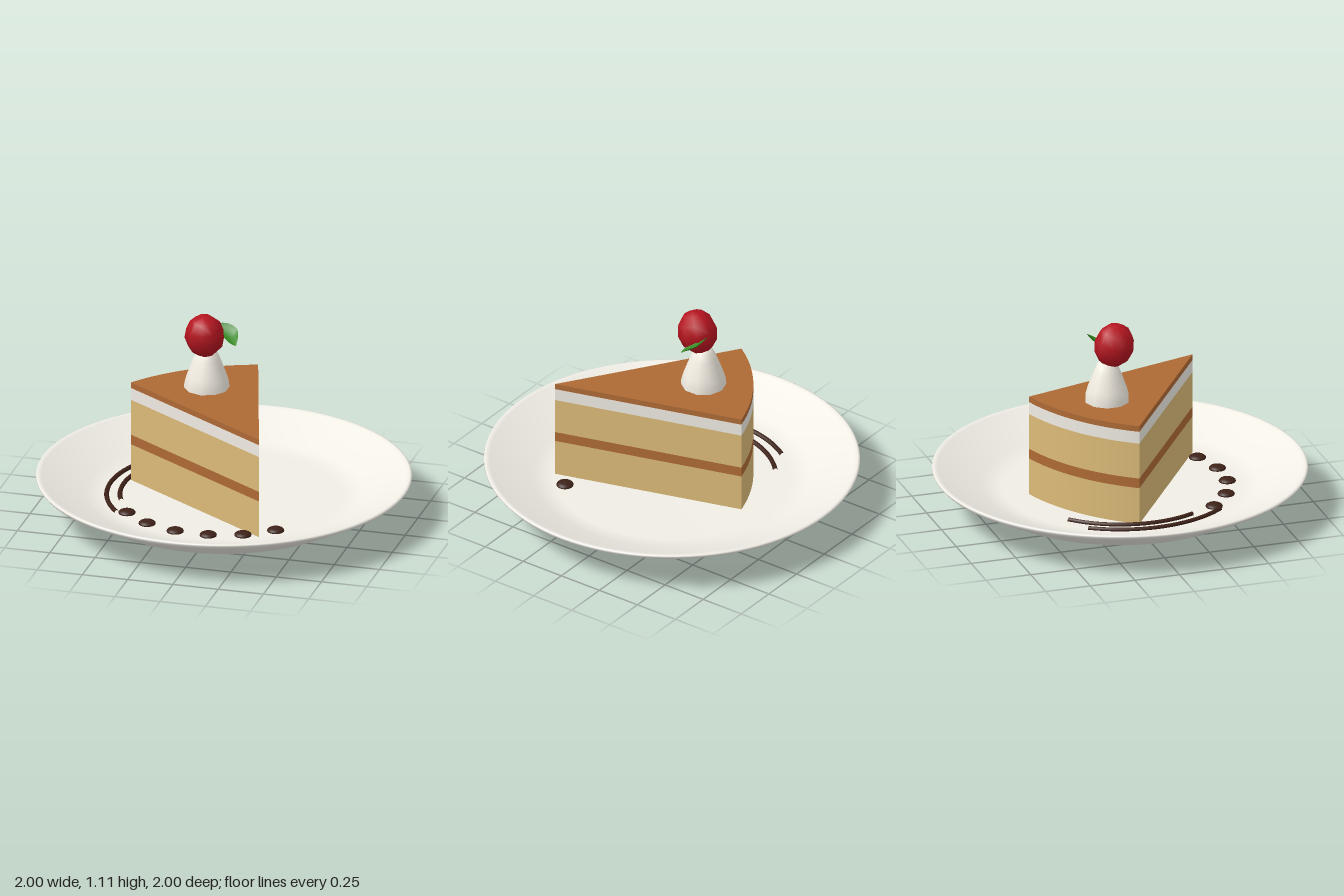
import * as THREE from 'three';
import { toCreasedNormals } from 'three/addons/utils/BufferGeometryUtils.js';

const FLOOR = 0.12; // height of the plate's well
const rad = THREE.MathUtils.degToRad;

function part(name, geometry, color, parent) {
  const mesh = new THREE.Mesh(geometry, new THREE.MeshStandardMaterial({ color }));
  mesh.name = name;
  parent.add(mesh);
  return mesh;
}

const lathe = (points, segments) =>
  new THREE.LatheGeometry(points.map(([r, y]) => new THREE.Vector2(r, y)), segments);

// Wedge-shaped slab, tip towards the front, rounded crust at the back
function wedge(y0, y1) {
  const s = new THREE.Shape();
  s.moveTo(0.34, -0.52);
  s.lineTo(0.34 + 1.053 * Math.cos(rad(106)), -0.52 + 1.053 * Math.sin(rad(106)));
  s.absarc(0.34, -0.52, 1.053, rad(106), rad(146), false);
  s.closePath();
  const g = new THREE.ExtrudeGeometry(s, { depth: y1 - y0, bevelEnabled: false, curveSegments: 20 });
  g.rotateX(-Math.PI / 2).translate(0, y0, 0);
  return toCreasedNormals(g, 0.5);
}

// Curled leaf: a ribbon lofted between its outer and inner edge
function leafGeometry() {
  const curve = (pts) => new THREE.CatmullRomCurve3(pts.map((p) => new THREE.Vector3(...p)));
  const outer = curve([[-0.11, 1.01, -0.165], [-0.05, 1.03, -0.19], [0.02, 1.01, -0.178], [0.04, 0.98, -0.13], [0.042, 0.945, -0.085]]);
  const inner = curve([[-0.11, 1.01, -0.165], [-0.07, 0.995, -0.145], [-0.025, 0.97, -0.11], [0.005, 0.958, -0.088], [0.042, 0.945, -0.085]]);
  const g = new THREE.PlaneGeometry(1, 1, 10, 4);
  const pos = g.attributes.position;
  for (let i = 0; i < pos.count; i++) {
    const u = pos.getX(i) + 0.5, v = pos.getY(i) + 0.5;
    const p = inner.getPoint(u).lerp(outer.getPoint(u), v);
    p.y -= 0.018 * Math.sin(Math.PI * v) * Math.sin(Math.PI * u); // fold along the midrib
    pos.setXYZ(i, p.x, p.y, p.z);
  }
  g.computeVertexNormals();
  return g;
}

export function createModel() {
  const model = new THREE.Group();
  model.name = 'cakeOnPlate';

  // Plate with a recessed foot ring, flared wall and rounded lip
  part('plate', lathe([
    [0, 0.022], [0.37, 0.022], [0.38, 0.018], [0.387, 0.001], [0.392, 0],
    [0.447, 0], [0.452, 0.003], [0.492, 0.06], [0.55, 0.066],
    [0.73, 0.08], [0.975, 0.208], [0.99, 0.218], [1, 0.23],
    [0.998, 0.238], [0.988, 0.241], [0.97, 0.236],
    [0.74, 0.136], [0.63, FLOOR], [0, FLOOR],
  ], 96), 0xf0ede5, model);

  // Cake slice, from bottom layer to top glaze
  const slice = new THREE.Group();
  slice.name = 'cakeSlice';
  model.add(slice);
  for (const [name, y0, y1, color] of [
    ['lowerSponge', FLOOR, 0.325, 0xdcbb78],
    ['filling', 0.325, 0.38, 0xae6a35],
    ['upperSponge', 0.38, 0.58, 0xdcbb78],
    ['creamLayer', 0.58, 0.648, 0xf0ece4],
    ['glaze', 0.648, 0.68, 0xae6a35],
  ]) part(name, wedge(y0, y1), color, slice);

  // Cream dollop
  const cream = part('creamDollop', lathe([
    [0.121, 0.67], [0.119, 0.71], [0.108, 0.75], [0.09, 0.8],
    [0.073, 0.845], [0.055, 0.885], [0.035, 0.91], [0, 0.92],
  ], 10), 0xf2ede2, model);
  cream.position.set(-0.128, 0, -0.115);

  // Berry and its leaf
  const berry = part('berry', new THREE.SphereGeometry(1, 9, 6), 0xb5141f, model);
  berry.scale.set(0.108, 0.121, 0.108);
  berry.position.set(-0.128, 0.992, -0.075);
  berry.rotation.set(0.3, 0.3, 0);
  part('leaf', leafGeometry(), 0x358a20, model).material.side = THREE.DoubleSide;

  // Sauce arcs and dots around the well
  const sauce = new THREE.Group();
  sauce.name = 'sauce';
  model.add(sauce);
  for (const [r, from, to] of [[0.553, 154.5, 228], [0.624, 140, 214]]) {
    const points = [];
    for (let i = 0; i <= 12; i++) {
      const a = rad(from + ((to - from) * i) / 12);
      points.push(new THREE.Vector3(r * Math.cos(a), 0, r * Math.sin(a)));
    }
    const arc = new THREE.TubeGeometry(new THREE.CatmullRomCurve3(points), 40, 0.013, 8);
    part('sauceArc', arc, 0x3d2117, sauce).position.y = FLOOR + 0.005;
  }
  for (let i = 0; i < 6; i++) {
    const a = rad(45.7 + i * 18.45);
    const dot = part('sauceDot', new THREE.SphereGeometry(0.046, 20, 12), 0x3d2117, sauce);
    dot.scale.y = 0.42;
    dot.position.set(0.575 * Math.cos(a), FLOOR + 0.004, 0.575 * Math.sin(a));
  }
  return model;
}
